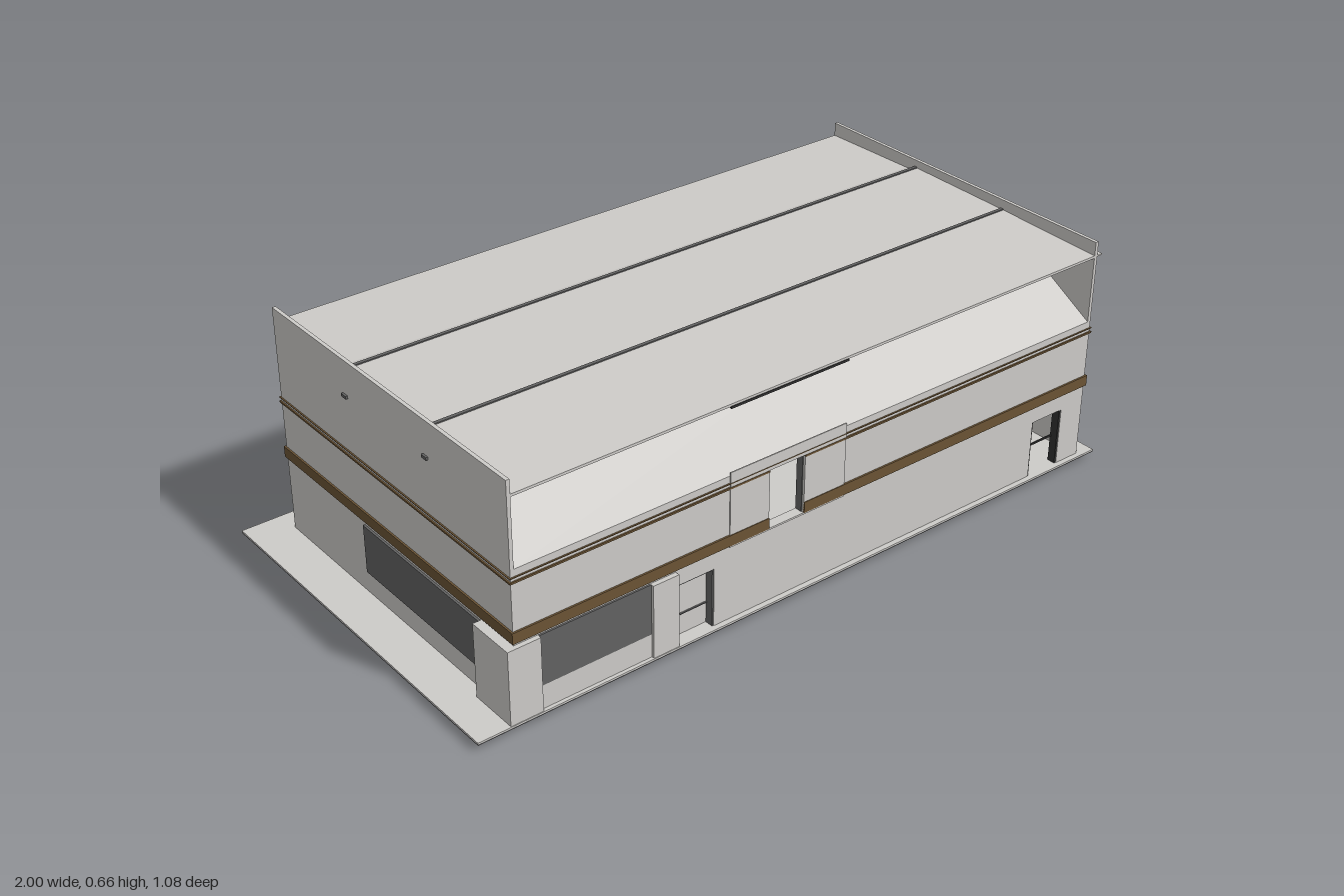
import * as THREE from 'three';

const mat = (name, color) => {
  const m = new THREE.MeshStandardMaterial({ color });
  m.name = name;
  return m;
};

export function createModel() {
  const root = new THREE.Group();
  root.name = 'hall';
  const pale = mat('pale concrete', 0xcdcbc8);
  const brown = mat('brown band', 0x6b5435);
  const dark = mat('dark grey', 0x626262);
  const black = mat('near black', 0x303030);

  const L = -0.885, R = 0.95, F = 0.525, B = -0.47, T = 0.025;

  // box from its two opposite corners
  const box = (name, m, x0, x1, y0, y1, z0, z1) => {
    const mesh = new THREE.Mesh(new THREE.BoxGeometry(x1 - x0, y1 - y0, z1 - z0), m);
    mesh.position.set((x0 + x1) / 2, (y0 + y1) / 2, (z0 + z1) / 2);
    mesh.name = name;
    root.add(mesh);
    return mesh;
  };
  const rect = (C, x0, x1, y0, y1) => {
    const s = new C();
    s.moveTo(x0, y0); s.lineTo(x1, y0); s.lineTo(x1, y1); s.lineTo(x0, y1); s.closePath();
    return s;
  };
  // upright sheet along x with rectangular openings
  const wall = (name, x0, x1, y0, y1, z, t, holes) => {
    const s = rect(THREE.Shape, x0, x1, y0, y1);
    holes.forEach(h => s.holes.push(rect(THREE.Path, ...h)));
    const mesh = new THREE.Mesh(new THREE.ExtrudeGeometry(s, { depth: t, bevelEnabled: false }), pale);
    mesh.position.z = z;
    mesh.name = name;
    root.add(mesh);
  };
  // solid with a (z, y) outline swept along x
  const sweep = (name, pts, x0, x1) => {
    const s = new THREE.Shape(pts.map(([z, y]) => new THREE.Vector2(-z, y)));
    const g = new THREE.ExtrudeGeometry(s, { depth: x1 - x0, bevelEnabled: false });
    g.rotateY(Math.PI / 2);
    g.translate(x0, 0, 0);
    const mesh = new THREE.Mesh(g, pale);
    mesh.name = name;
    root.add(mesh);
  };

  // ground slab and what hangs below it
  box('groundSlab', pale, -1, 1, 0.021, 0.025, -0.54, 0.54);
  box('slabUnderside', dark, -1, 1, 0.018, 0.021, -0.54, 0.54);
  box('underPit', pale, -0.26, 0.05, 0.014, 0.018, -0.45, -0.2);
  box('underDuct', pale, -0.6, 0.05, 0.014, 0.018, -0.22, -0.2);
  box('drainPipe', pale, 0.94, 0.948, 0, 0.02, 0.255, 0.263);

  // outer walls
  const opening = [-0.15, -0.04, 0.237, 0.4];
  const leftDoor = [-0.425, -0.315, 0.025, 0.19], rightDoor = [0.76, 0.87, 0.025, 0.19];
  wall('frontWall', L, R, 0.025, 0.43, F - T, T, [opening, leftDoor, rightDoor]);
  wall('backWall', L, R, 0.025, 0.43, B, T, [opening]);
  wall('frontPanel', -0.27, 0.09, 0.232, 0.44, F, 0.003, [opening]);
  box('gableWall', pale, L, L + 0.01, 0.025, 0.66, B, F);
  box('gableWall', pale, R - 0.01, R, 0.025, 0.66, B, F);
  box('upperFloor', pale, L + 0.01, R - 0.01, 0.225, 0.235, B + T, F - T);

  // painted bands running round the building, broken at the openings
  const band = (name, m, y0, y1, d, gap) => {
    for (const [z0, z1] of [[F, F + d], [B - d, B]]) {
      if (gap) {
        box(name, m, L - d, opening[0], y0, y1, z0, z1);
        box(name, m, opening[1], R + d, y0, y1, z0, z1);
      } else box(name, m, L - d, R + d, y0, y1, z0, z1);
    }
    box(name, m, L - d, L, y0, y1, B, F);
    box(name, m, R, R + d, y0, y1, B, F);
  };
  band('brownBand', brown, 0.237, 0.267, 0.005, true);
  band('thinBrownLine', brown, 0.395, 0.4, 0.004, true);
  band('thinUpperLine', brown, 0.409, 0.411, 0.004, false);

  // dark frames of the middle opening
  for (const z of [F - T, B + 0.003]) {
    box('openingJamb', dark, -0.153, -0.148, 0.237, 0.4, z, z + T - 0.004);
    box('openingJamb', dark, -0.042, -0.037, 0.237, 0.4, z, z + T - 0.004);
    box('openingHead', dark, -0.15, -0.04, 0.396, 0.402, z, z + T - 0.004);
  }

  // inner slopes below the open eaves
  sweep('frontSlope', [[F, 0.43], [0.2, 0.615], [0.2, 0.605], [F, 0.42]], L + 0.01, R - 0.01);
  sweep('backSlope', [[B, 0.43], [B, 0.42], [-0.14, 0.605], [-0.14, 0.615]], L + 0.01, R - 0.01);

  // roof deck with a small step, cover strips and edge trim
  sweep('roofDeck', [[F, 0.615], [F, 0.622], [0.2, 0.632], [-0.13, 0.638], [-0.17, 0.626],
    [B, 0.622], [B, 0.615]], L + 0.01, R - 0.01);
  box('roofStrip', dark, L + 0.01, R - 0.01, 0.63, 0.635, 0.19, 0.2);
  box('roofStrip', dark, L + 0.01, R - 0.01, 0.636, 0.641, -0.14, -0.13);
  box('roofEdgeStrip', black, -0.27, 0.09, 0.61, 0.616, F - 0.004, F + 0.002);
  box('gableLedge', pale, R, R + 0.018, 0.617, 0.621, B, F);

  // vents
  for (const x of [-0.71, -0.34, 0.05, 0.42, 0.8])
    box('slopeVent', dark, x - 0.012, x + 0.012, 0.557, 0.572, 0.27, 0.31);
  for (const z of [0.205, -0.14]) {
    box('gableVent', dark, R, R + 0.006, 0.56, 0.568, z - 0.01, z + 0.01);
    box('gableVent', dark, L - 0.006, L, 0.56, 0.568, z - 0.01, z + 0.01);
  }

  // corner pillar, front pier and shop windows
  box('cornerPillar', pale, -0.91, -0.82, 0.025, 0.23, 0.4, 0.538);
  box('frontPier', pale, -0.505, -0.43, 0.025, 0.23, F, 0.538);
  box('windowSill', pale, -0.82, -0.505, 0.025, 0.09, F, 0.53);
  box('frontWindow', dark, -0.82, -0.505, 0.09, 0.23, F, 0.53);
  box('sideWindow', dark, L - 0.006, L, 0.09, 0.225, -0.1, 0.4);

  // left door: pale leaf with dark frame lines
  box('doorLeaf', pale, -0.425, -0.315, 0.025, 0.19, F - T - 0.006, F - T);
  box('doorFrame', dark, -0.425, -0.421, 0.025, 0.19, F - T, F - 0.002);
  box('doorFrame', dark, -0.319, -0.315, 0.025, 0.19, F - T, F - 0.002);
  box('doorFrame', dark, -0.425, -0.315, 0.186, 0.19, F - T, F - 0.002);
  box('doorRail', dark, -0.4, -0.319, 0.083, 0.086, F - T, F - T + 0.004);

  // right door: open entrance with a dark back wall
  box('entranceBack', dark, 0.55, 0.94, 0.025, 0.225, 0.36, 0.366);
  box('entranceHead', pale, 0.76, 0.87, 0.172, 0.188, F - T - 0.004, F - T);
  box('entranceFrame', black, 0.76, 0.765, 0.025, 0.19, F - T, F - 0.002);
  box('entranceFrame', black, 0.865, 0.87, 0.025, 0.19, F - T, F - 0.002);
  box('entranceRail', black, 0.765, 0.865, 0.1, 0.105, F - T, F - T + 0.004);

  // open stair on the back
  const n = 15;
  for (let i = 0; i < n; i++) {
    const x = -0.56 + i * 0.25 / n, y = 0.025 + (i + 1) * 0.19 / n;
    box('stairTread', dark, x, x + 0.02, y - 0.006, y, -0.54, B);
  }
  return root;
}
